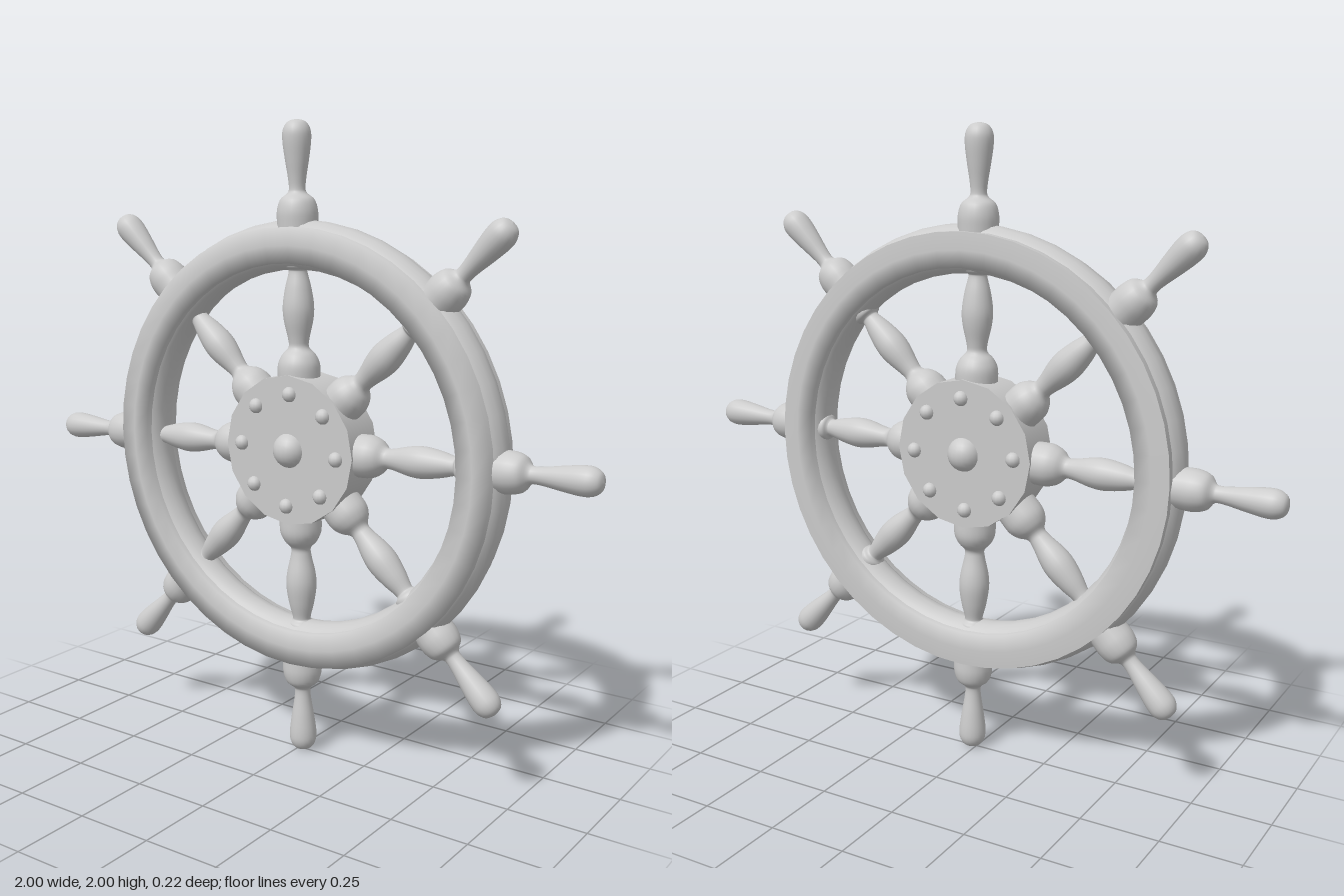
import * as THREE from 'three';

const material = new THREE.MeshStandardMaterial({ color: 0xcccccc });

function part(name, geometry, parent) {
  const mesh = new THREE.Mesh(geometry, material);
  mesh.name = name;
  parent.add(mesh);
  return mesh;
}

// Solid of revolution through a smoothed run of [radius, height] points
function turned(points, segments = 20, smooth = true) {
  let pts = points.map(([r, h]) => new THREE.Vector2(r, h));
  if (smooth) {
    pts = new THREE.SplineCurve(pts).getPoints(points.length * 4);
    pts.forEach((p) => { p.x = Math.max(p.x, 0); });
  }
  return new THREE.LatheGeometry(pts, segments);
}

export function createModel() {
  const model = new THREE.Group();
  model.name = 'shipWheel';

  // Rim: gently crowned ring with a rounded bead showing inside and outside
  const rim = new THREE.Group();
  rim.name = 'rim';
  rim.position.set(0.012, 1, 0);
  model.add(rim);
  const ring = part('rimRing', turned([
    [0.685, -0.073], [0.685, 0.073], [0.63, 0.077], [0.577, 0.073],
    [0.577, -0.073], [0.63, -0.077], [0.685, -0.073],
  ], 48, false), rim);
  ring.rotation.x = Math.PI / 2;
  part('rimBead', new THREE.TorusGeometry(0.63, 0.075, 20, 48), rim);

  // Hub drum with a centre boss and a circle of rivets on both faces
  const hub = new THREE.Group();
  hub.name = 'hub';
  hub.position.set(0.007, 1.006, 0);
  model.add(hub);
  const drum = part('hubDrum', new THREE.CylinderGeometry(0.234, 0.234, 0.144, 16), hub);
  drum.rotation.x = Math.PI / 2;
  const bossGeometry = new THREE.SphereGeometry(0.056, 20, 14);
  const rivetGeometry = new THREE.SphereGeometry(0.024, 12, 8);
  for (const side of [1, -1]) {
    part('hubBoss', bossGeometry, hub).position.z = side * 0.055;
    for (let i = 0; i < 8; i++) {
      const a = THREE.MathUtils.degToRad(i * 45 - 2);
      part('rivet', rivetGeometry, hub)
        .position.set(0.176 * Math.cos(a), 0.176 * Math.sin(a), side * 0.07);
    }
  }

  // Turned spoke between hub and rim
  const spokeGeometry = turned([
    [0.064, 0.17], [0.066, 0.22], [0.065, 0.265], [0.052, 0.295], [0.032, 0.318],
    [0.033, 0.345], [0.045, 0.4], [0.048, 0.445], [0.04, 0.5], [0.029, 0.545],
    [0.031, 0.556], [0.043, 0.566], [0.046, 0.59], [0.046, 0.63],
  ]);
  // Turned collar and handle outside the rim
  const handleGeometry = turned([
    [0.06, 0.64], [0.062, 0.69], [0.062, 0.73], [0.052, 0.763], [0.03, 0.782],
    [0.025, 0.797], [0.028, 0.83], [0.036, 0.88], [0.043, 0.935],
    [0.041, 0.968], [0.026, 0.991], [0, 0.998],
  ]);
  // Slightly uneven hand-set angles, in degrees
  for (const angle of [1.5, 45.2, 90.7, 135.9, 181.7, 227.3, 270.8, 314.4]) {
    const spoke = new THREE.Group();
    spoke.name = 'spoke';
    spoke.position.set(0.002, 1, 0);
    spoke.rotation.z = THREE.MathUtils.degToRad(angle - 90);
    part('spokeShaft', spokeGeometry, spoke);
    part('handle', handleGeometry, spoke);
    model.add(spoke);
  }
  return model;
}
